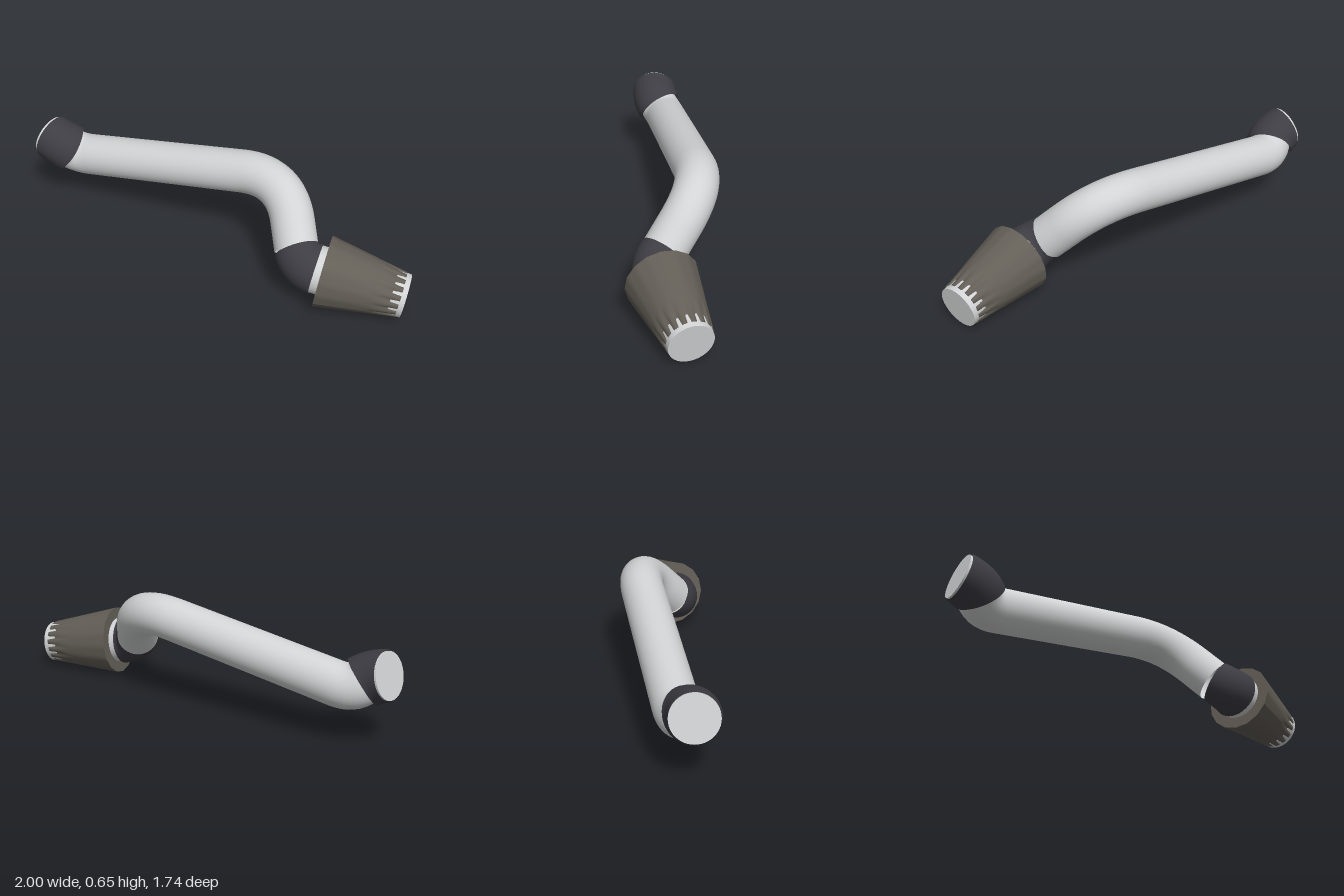
import * as THREE from 'three';

const V = (x, y, z) => new THREE.Vector3(x, y, z);
const UP = V(0, 1, 0);

const mat = (name, color, side = THREE.FrontSide) => {
  const m = new THREE.MeshStandardMaterial({ color, side });
  m.name = name;
  return m;
};

// Round tube along a path; radiusAt(u) gives the radius from start (0) to end (1)
function sweep(path, segments, sides, radiusAt) {
  const geo = new THREE.TubeGeometry(path, segments, 1, sides, false);
  const pos = geo.attributes.position;
  const p = V(0, 0, 0);
  for (let i = 0; i <= segments; i++) {
    const centre = path.getPointAt(i / segments);
    for (let j = 0; j <= sides; j++) {
      const k = i * (sides + 1) + j;
      p.fromBufferAttribute(pos, k).sub(centre).multiplyScalar(radiusAt(i / segments)).add(centre);
      pos.setXYZ(k, p.x, p.y, p.z);
    }
  }
  return geo;
}

// Point at a distance from a towards b
const along = (a, b, d) => a.clone().add(b.clone().sub(a).normalize().multiplyScalar(d));

export function createModel() {
  const model = new THREE.Group();
  model.name = 'airIntake';
  const metal = mat('brushed metal', 0xd2d3d4, THREE.DoubleSide);
  const rubber = mat('dark rubber', 0x3e3d44, THREE.DoubleSide);
  const gauze = mat('filter gauze', 0x635e56);

  const add = (parent, name, geo, material) => {
    const mesh = new THREE.Mesh(geo, material);
    mesh.name = name;
    parent.add(mesh);
    return mesh;
  };

  // Corners of the pipe run, from the back end to the filter
  const end = V(-0.905, 0.425, -0.775);
  const backKnee = V(-0.835, 0.4, -0.705);
  const backCorner = V(-0.73, 0.325, -0.697);
  const bend = V(0.395, 0.57, 0.108);
  const frontCorner = V(0.395, 0.215, 0.48);
  const filterBase = V(0.515, 0.21, 0.548);
  const filterTip = V(0.94, 0.14, 0.757);
  const axis = filterTip.clone().sub(filterBase).normalize();

  const backJoin = backKnee.clone().lerp(backCorner, 0.5);
  const legStart = along(backCorner, bend, 0.09);
  const bendStart = along(bend, backCorner, 0.28);
  const bendEnd = along(bend, frontCorner, 0.26);
  const elbowStart = along(frontCorner, bend, 0.09);
  const elbowEnd = filterBase.clone().addScaledVector(axis, -0.035);
  const elbowCtrl = elbowEnd.clone().addScaledVector(axis, -0.09);

  const backCurve = new THREE.QuadraticBezierCurve3(end, backKnee, backJoin);
  const elbowCurve = new THREE.QuadraticBezierCurve3(elbowStart, elbowCtrl, elbowEnd);

  // Metal pipe
  const path = new THREE.CurvePath();
  path.add(backCurve);
  path.add(new THREE.QuadraticBezierCurve3(backJoin, backCorner, legStart));
  path.add(new THREE.LineCurve3(legStart, bendStart));
  path.add(new THREE.QuadraticBezierCurve3(bendStart, bend, bendEnd));
  path.add(new THREE.LineCurve3(bendEnd, elbowStart));
  add(model, 'pipe', sweep(path, 110, 36, () => 0.126), metal);

  // Rubber couplings, each closing in on the pipe at both ends
  const coupling = (name, curve, r0, r1) => add(model, name,
    sweep(curve, 24, 36, (u) => (u === 0 || u === 1 ? 0.12 : r0 + (r1 - r0) * u)), rubber);
  coupling('backCoupling', backCurve, 0.141, 0.148);
  coupling('frontElbow', elbowCurve, 0.13, 0.148);

  // Short closed cylinder along a direction
  const stub = (name, from, dir, r0, r1, length) => {
    const geo = new THREE.CylinderGeometry(r1, r0, length, 48);
    const mesh = add(model, name, geo, metal);
    mesh.quaternion.setFromUnitVectors(UP, dir);
    mesh.position.copy(from).addScaledVector(dir, length / 2);
  };
  const endDir = end.clone().sub(backKnee).normalize();
  stub('pipeEndCap', along(end, backKnee, 0.03), endDir, 0.131, 0.131, 0.038);
  stub('filterNeck', elbowEnd.clone().addScaledVector(axis, -0.02), axis, 0.138, 0.138, 0.07);

  // Tapered filter: sixteen flat sides, with grooves deepening towards the tip
  const length = 0.45, pleats = 16, sides = 64;
  const cone = new THREE.CylinderGeometry(0.13, 0.207, length, sides, 12);
  const pos = cone.attributes.position;
  for (let i = 0; i < pos.count; i++) {
    const x = pos.getX(i), z = pos.getZ(i);
    const r = Math.hypot(x, z);
    if (r < 0.01) continue;
    const t = pos.getY(i) / length + 0.5;
    const step = Math.round((Math.atan2(z, x) / (2 * Math.PI)) * sides + sides) % 4;
    const offset = (step - 2) * (2 * Math.PI / sides);
    const flat = Math.cos(Math.PI / pleats) / Math.cos(offset);
    const groove = step === 0 ? 0.02 * Math.max(0, (t - 0.65) / 0.35) : 0;
    const k = THREE.MathUtils.lerp(flat, 1, t) - groove / r;
    pos.setX(i, x * k);
    pos.setZ(i, z * k);
  }
  cone.computeVertexNormals();
  const filter = add(model, 'filterCone', cone, gauze);
  filter.quaternion.setFromUnitVectors(UP, axis);
  filter.position.copy(filterBase).addScaledVector(axis, length / 2);

  // Metal cap at the filter tip
  stub('filterTipCap', filterTip.clone().addScaledVector(axis, -0.08), axis, 0.131, 0.124, 0.08);

  return model;
}
